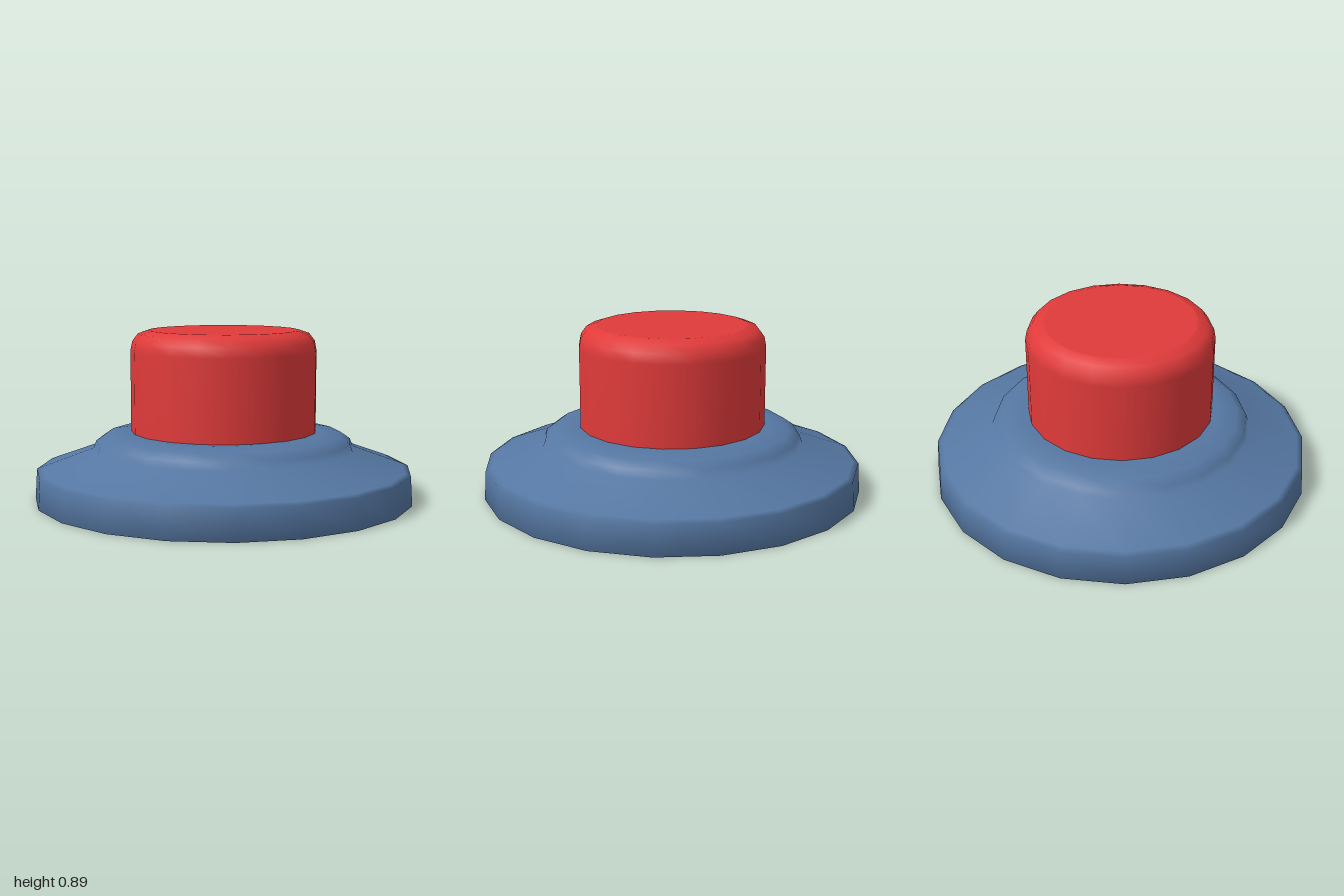
import * as THREE from 'three';

const SIDES = 20;

function lathe(name, profile, material) {
  const points = profile.map(([r, y]) => new THREE.Vector2(r, y));
  const mesh = new THREE.Mesh(new THREE.LatheGeometry(points, SIDES), material);
  mesh.name = name;
  return mesh;
}

export function createModel() {
  const blue = new THREE.MeshStandardMaterial({ color: 0x5577a2 });
  blue.name = 'housing blue';
  const red = new THREE.MeshStandardMaterial({ color: 0xe03a3a });
  red.name = 'button red';

  const model = new THREE.Group();
  model.name = 'pushButton';

  // Wide sloping housing with a rounded collar
  model.add(lathe('housing', [
    [0, 0], [0.93, 0], [1, 0], [0.99, 0.155], [0.96, 0.167], [0.69, 0.265],
    [0.675, 0.305], [0.625, 0.34], [0.53, 0.357], [0, 0.357],
  ], blue));

  // Button wall with a bevelled rim
  const button = new THREE.Group();
  button.name = 'button';
  button.add(lathe('buttonWall', [
    [0.49, 0.35], [0.49, 0.78], [0.48, 0.83], [0.45, 0.87], [0.395, 0.888],
  ], red));

  // Flat button top
  const top = new THREE.Mesh(new THREE.CircleGeometry(0.395, SIDES), red);
  top.name = 'buttonTop';
  top.rotation.x = -Math.PI / 2;
  top.position.y = 0.888;
  button.add(top);
  model.add(button);

  return model;
}
